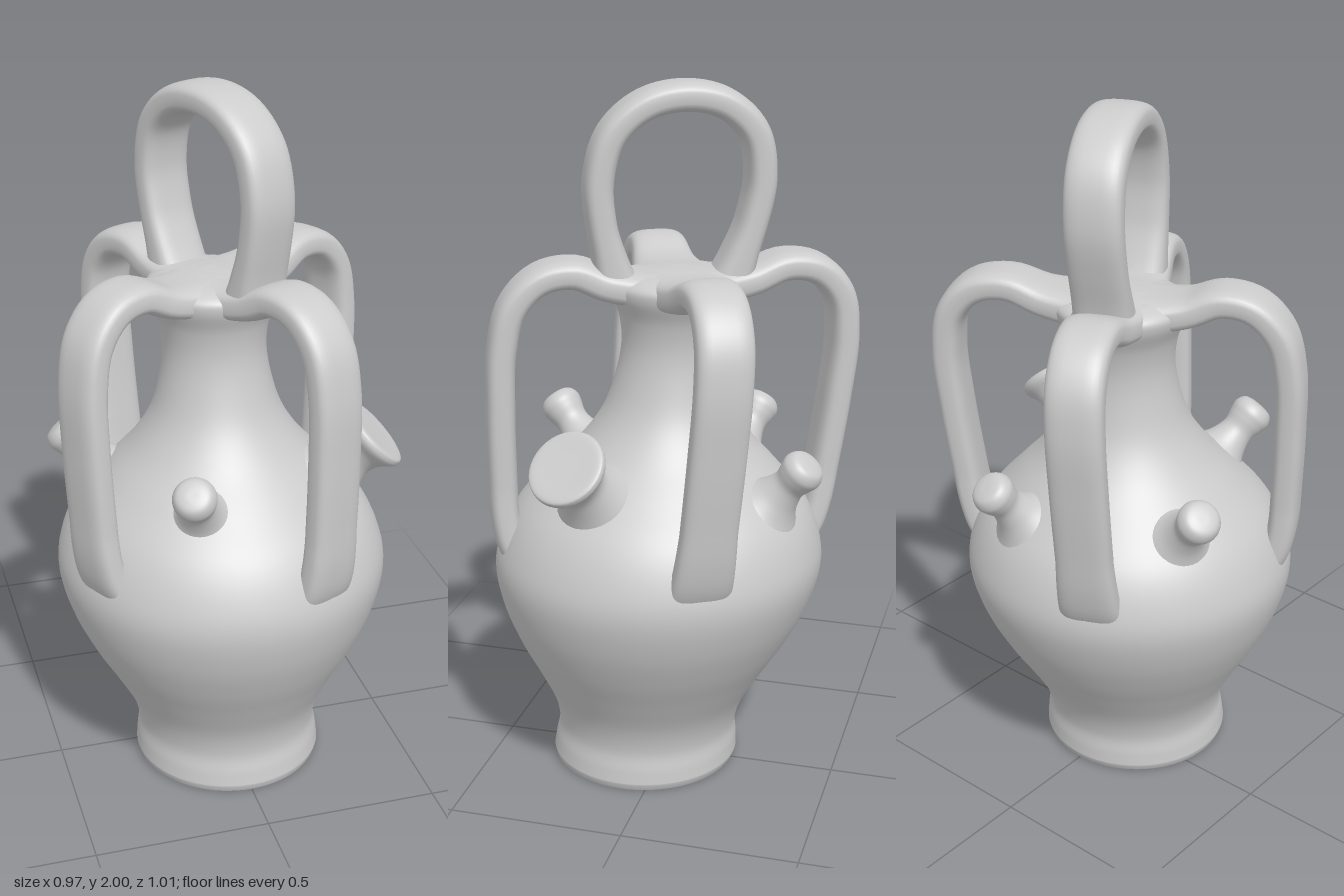
import * as THREE from 'three';
import { mergeVertices } from 'three/addons/utils/BufferGeometryUtils.js';

const material = new THREE.MeshStandardMaterial({ color: 0xcccccc });
const V = (x, y, z) => new THREE.Vector3(x, y, z);

// the whole pot leans slightly backwards as it rises
const lean = new THREE.Matrix4().set(
  1, -0.012, 0, 0,
  0, 1, 0, 0,
  0, -0.065, 1, 0.072,
  0, 0, 0, 1);

// smooth curve through 2D points, sampled for a lathe
const smooth = (pts, n) =>
  new THREE.SplineCurve(pts.map(p => new THREE.Vector2(...p))).getPoints(n)
    .map(p => new THREE.Vector2(Math.max(p.x, 0), p.y));

function add(group, name, geometry) {
  const mesh = new THREE.Mesh(geometry, material);
  mesh.name = name;
  group.add(mesh);
  return mesh;
}

// flat strap with rounded edges swept along a planar path of [radius, height]
// that lies at the given heading; size(t) returns [half width, half thickness]
function strap(path, heading, size, steps = 64, sides = 32) {
  const out = V(Math.sin(heading), 0, Math.cos(heading));
  const side = V(out.z, 0, -out.x);
  const curve = new THREE.CatmullRomCurve3(
    path.map(([r, y]) => out.clone().multiplyScalar(r).setY(y)), false, 'centripetal');
  const round = v => Math.sign(v) * Math.pow(Math.abs(v), 0.64);
  const pos = [], index = [];
  for (let i = 0; i <= steps; i++) {
    const t = i / steps;
    const p = curve.getPointAt(t);
    const n = curve.getTangentAt(t).cross(side).normalize();
    const [w, h] = size(t);
    for (let j = 0; j < sides; j++) {
      const a = j / sides * Math.PI * 2;
      const q = p.clone().addScaledVector(side, w * round(Math.cos(a)))
        .addScaledVector(n, h * round(Math.sin(a)));
      pos.push(q.x, q.y, q.z);
      if (i < steps) {
        const b = i * sides + j, c = i * sides + (j + 1) % sides;
        index.push(b, c, b + sides, c, c + sides, b + sides);
      }
    }
  }
  const g = new THREE.BufferGeometry();
  g.setAttribute('position', new THREE.Float32BufferAttribute(pos, 3));
  g.setIndex(index);
  g.computeVertexNormals();
  return g.applyMatrix4(lean);
}

// turned spout standing on the shoulder, from a base point to a tip point
function spout(group, name, profile, base, tip) {
  const axis = tip.clone().sub(base);
  const length = axis.length();
  const points = profile.map(([r, s]) => [r, s * length]);
  let g = new THREE.LatheGeometry(smooth(points, 48), 36);
  g.deleteAttribute('uv');
  g.deleteAttribute('normal');
  g = mergeVertices(g, 1e-5);
  g.computeVertexNormals();
  const mesh = add(group, name, g);
  mesh.position.copy(base);
  mesh.quaternion.setFromUnitVectors(V(0, 1, 0), axis.normalize());
}

export function createModel() {
  const group = new THREE.Group();
  group.name = 'jug';

  // body: flat foot, swelling belly, narrow closed neck flaring into the handles
  const wall = smooth([
    [0.274, 0.02], [0.27, 0.06], [0.264, 0.12], [0.285, 0.2], [0.338, 0.3], [0.395, 0.4],
    [0.445, 0.51], [0.472, 0.62], [0.46, 0.71], [0.413, 0.81], [0.325, 0.91], [0.242, 1.0],
    [0.186, 1.09], [0.156, 1.19], [0.145, 1.28], [0.156, 1.36], [0.182, 1.425], [0.178, 1.46],
    [0.13, 1.482], [0.07, 1.482], [0, 1.48]], 120);
  const foot = [[0, 0], [0.264, 0], [0.268, 0.003]].map(p => new THREE.Vector2(...p));
  add(group, 'body', new THREE.LatheGeometry([...foot, ...wall], 72).applyMatrix4(lean));

  // four strap handles from the neck down to the shoulder
  const heading = Math.atan2(0.41, 0.91);
  const arm = [[0.02, 1.44], [0.12, 1.442], [0.2, 1.455], [0.29, 1.488], [0.38, 1.472],
    [0.448, 1.4], [0.475, 1.28], [0.474, 1.1], [0.464, 0.92], [0.453, 0.79], [0.432, 0.71],
    [0.385, 0.64]];
  const armSize = t => {
    const neck = Math.max(0, 1 - t / 0.28), end = Math.max(0, (t - 0.8) / 0.2);
    return [0.077 + 0.055 * neck * neck + 0.014 * end, 0.041 + 0.012 * neck * neck];
  };
  // [turn, extra reach at the top]
  [[0.01, 0.005], [0.1, 0.02], [0.03, 0.014], [0.05, -0.01]].forEach(([turn, reach], k) => {
    const path = arm.map(([r, y]) => [r + reach * r / 0.47 * Math.max(0, y - 0.75) / 0.6, y]);
    add(group, 'sideHandle' + (k + 1), strap(path, heading + k * Math.PI / 2 + turn, armSize));
  });

  // carrying loop above the neck, set a little forward
  const half = [[0.16, 1.452], [0.18, 1.52], [0.208, 1.62], [0.222, 1.74], [0.192, 1.86], [0.11, 1.935]];
  const forward = 0.014;
  const loop = [...half.map(([r, y]) => [forward - r, y]), [forward, 1.959],
    ...half.slice().reverse().map(([r, y]) => [forward + r, y])];
  const loopSize = t => {
    const end = Math.max(0, Math.abs(t - 0.5) - 0.36) / 0.14;
    return [0.078 + 0.004 * end * end, 0.041 + 0.02 * end * end];
  };
  add(group, 'topLoop', strap(loop, heading, loopSize, 80));

  // wide pouring spout with a flared, closed mouth
  const mouth = [[0.15, 0.05], [0.14, 0.17], [0.112, 0.33], [0.087, 0.5], [0.074, 0.66],
    [0.084, 0.8], [0.106, 0.9], [0.11, 0.96], [0.1, 1.0], [0.05, 1.0], [0, 1.0]];
  spout(group, 'mainSpout', mouth, V(0.21, 0.84, 0.115), V(0.405, 1.035, 0.172));

  // three small knobbed spouts
  const knob = [[0.12, 0.04], [0.108, 0.16], [0.08, 0.3], [0.06, 0.44], [0.048, 0.62],
    [0.056, 0.77], [0.06, 0.88], [0.048, 0.98], [0.025, 1.015], [0, 1.02]];
  [
    [V(-0.115, 0.86, 0.24), V(-0.188, 1.03, 0.4)],
    [V(0.08, 0.82, -0.28), V(0.115, 1.0, -0.43)],
    [V(-0.28, 0.83, -0.11), V(-0.435, 1.0, -0.182)],
  ].forEach(([base, tip], i) => spout(group, 'smallSpout' + (i + 1), knob, base, tip));

  return group;
}
